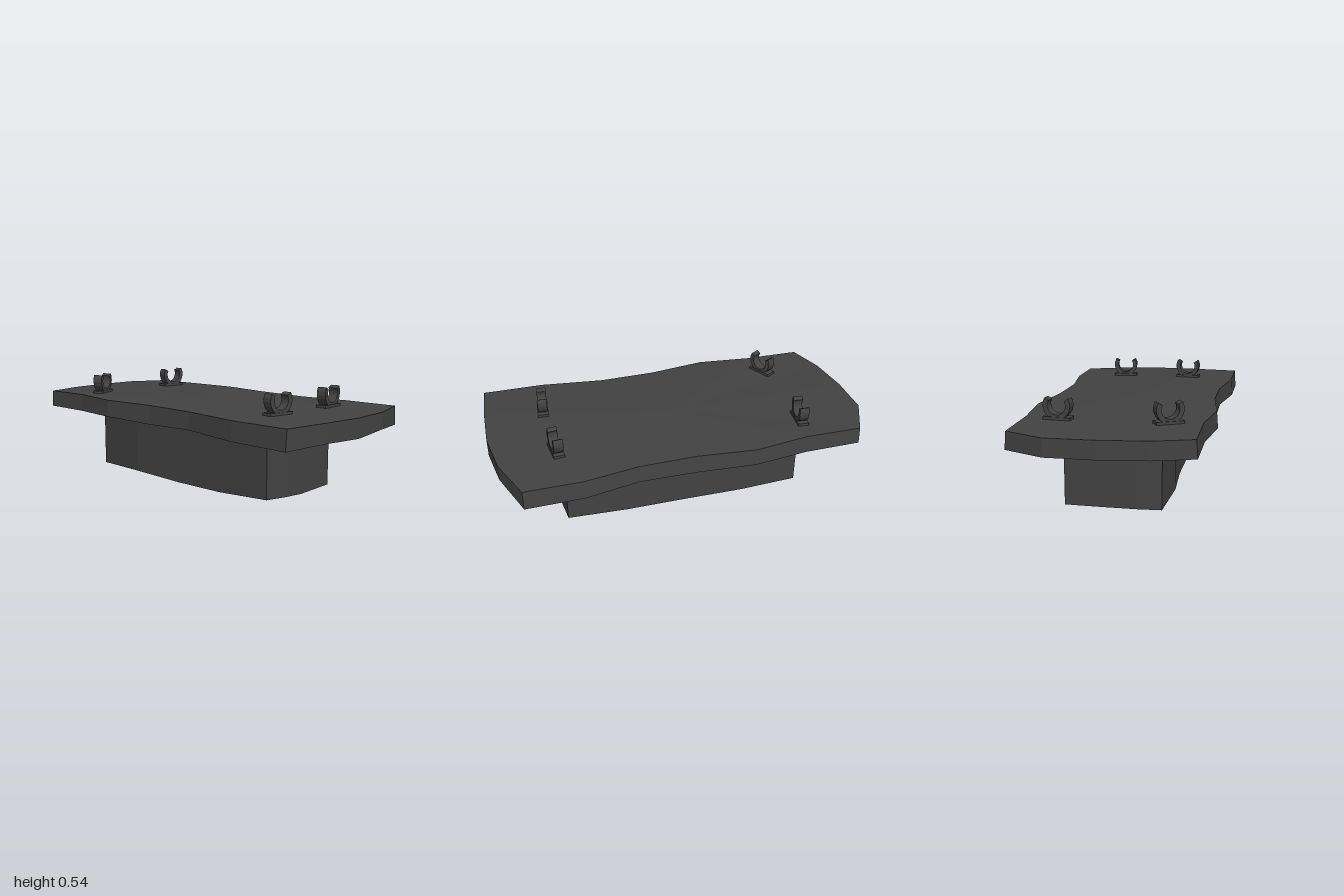
import * as THREE from 'three';

// Faceted ring of walls around an uneven outline of [x, z, bottomY, topY],
// optionally closed with a fan on top and bottom.
function unevenBlock(outline, topScaleZ, caps) {
  const pos = [];
  const tri = (...pts) => pts.forEach((p) => pos.push(...p));
  const top = (p) => [p[0], p[3], p[1] * topScaleZ];
  const bottom = (p) => [p[0], p[2], p[1]];
  outline.forEach((a, i) => {
    const b = outline[(i + 1) % outline.length];
    tri(top(a), top(b), bottom(b));
    tri(top(a), bottom(b), bottom(a));
    if (caps) {
      tri([0, caps.top, 0], top(b), top(a));
      tri([0, caps.bottom, 0], bottom(a), bottom(b));
    }
  });
  const geo = new THREE.BufferGeometry();
  geo.setAttribute('position', new THREE.Float32BufferAttribute(pos, 3));
  geo.computeVertexNormals();
  return geo;
}

export function createModel() {
  const group = new THREE.Group();
  const stone = new THREE.MeshStandardMaterial({ color: 0x424242, flatShading: true });
  stone.name = 'dark stone';
  const wallStone = stone.clone();
  wallStone.side = THREE.DoubleSide;

  // Rough-hewn table top
  const slabOutline = [
    [1.0, 0, 0.338, 0.437], [0.99, 0.25, 0.342, 0.437], [0.97, 0.485, 0.336, 0.436],
    [0.64, 0.483, 0.338, 0.435], [0.3, 0.437, 0.345, 0.435], [0, 0.437, 0.338, 0.437],
    [-0.31, 0.475, 0.349, 0.438], [-0.6, 0.437, 0.347, 0.44], [-0.905, 0.437, 0.347, 0.436],
    [-0.97, 0.24, 0.347, 0.436], [-1.0, 0, 0.347, 0.437], [-1.0, -0.24, 0.347, 0.436],
    [-0.905, -0.445, 0.347, 0.436], [-0.6, -0.445, 0.347, 0.44], [-0.31, -0.48, 0.349, 0.438],
    [0, -0.445, 0.34, 0.437], [0.3, -0.445, 0.345, 0.435], [0.58, -0.487, 0.338, 0.435],
    [0.88, -0.487, 0.337, 0.436], [0.97, -0.24, 0.352, 0.437],
  ];
  const slab = new THREE.Mesh(unevenBlock(slabOutline, 0.985, { top: 0.442, bottom: 0.34 }), stone);
  slab.name = 'tableTop';
  group.add(slab);

  // Hollow pedestal, open underneath
  const baseOutline = [
    [0.66, 0, 0.012], [0.655, 0.12, 0.015], [0.645, 0.24, 0.02],
    [0.32, 0.245, 0.003], [0, 0.242, 0], [-0.32, 0.264, 0.016], [-0.648, 0.242, 0.012],
    [-0.658, 0.12, 0.013], [-0.66, 0, 0.014], [-0.658, -0.12, 0.014], [-0.648, -0.24, 0.012],
    [-0.32, -0.26, 0.018], [0, -0.235, 0.002], [0.32, -0.235, 0.004], [0.645, -0.235, 0.02],
    [0.655, -0.12, 0.017],
  ].map((p) => [...p, 0.37]);
  const base = new THREE.Mesh(unevenBlock(baseOutline, 1), wallStone);
  base.name = 'pedestal';
  group.add(base);

  // Open shackles on small plates
  const arc = new THREE.Shape();
  const from = THREE.MathUtils.degToRad(150);
  const to = THREE.MathUtils.degToRad(390);
  arc.absarc(0, 0, 0.07, from, to, false);
  arc.absarc(0, 0, 0.046, to, from, true);
  const ringGeo = new THREE.ExtrudeGeometry(arc, { depth: 0.05, bevelEnabled: false, curveSegments: 7 });
  ringGeo.translate(0, 0, -0.025).rotateY(Math.PI / 2);
  const plateGeo = new THREE.BoxGeometry(0.058, 0.02, 0.14);
  const shackles = [
    ['leftBackShackle', 0.67, -0.193, 0.1],
    ['leftFrontShackle', 0.677, 0.203, -0.1],
    ['rightBackShackle', -0.632, -0.268, -0.1],
    ['rightFrontShackle', -0.627, 0.268, 0.49],
  ];
  for (const [name, x, z, turn] of shackles) {
    const shackle = new THREE.Group();
    shackle.name = name;
    const plate = new THREE.Mesh(plateGeo, stone);
    plate.name = 'plate';
    plate.position.y = 0.442;
    const ring = new THREE.Mesh(ringGeo, stone);
    ring.name = 'cuff';
    ring.position.y = 0.508;
    shackle.add(plate, ring);
    shackle.position.set(x, 0, z);
    shackle.rotation.y = turn;
    group.add(shackle);
  }
  return group;
}
